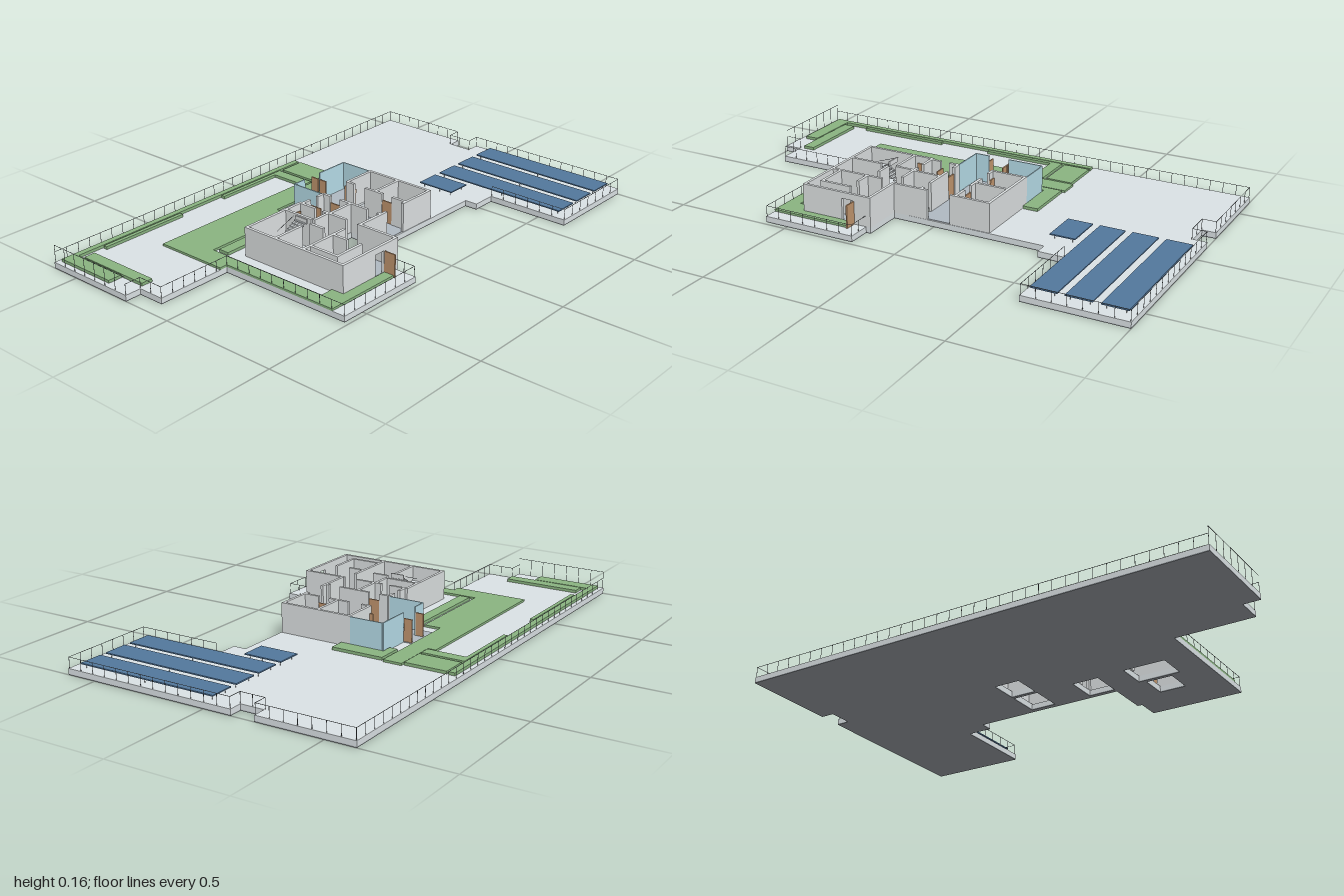
import * as THREE from 'three';

const mat = (name, color) => {
  const m = new THREE.MeshStandardMaterial({ color });
  m.name = name;
  return m;
};

export function createModel() {
  const root = new THREE.Group();
  root.name = 'roofTerrace';
  const M = {
    deck: mat('paleConcrete', 0xdae1e4),
    base: mat('underside', 0x92979c),
    wall: mat('wallGrey', 0xdbdfe0),
    floor: mat('floorGrey', 0xafb8c1),
    green: mat('plantGreen', 0x89b380),
    panel: mat('panelBlue', 0x52779c),
    wood: mat('doorWood', 0xbf946d),
    glass: mat('paleGlass', 0xb5dbe7),
    rail: mat('railGrey', 0x70767a),
  };
  const TOP = 0.025, WALL = 0.148, T = 0.012;

  const group = (name, parent = root) => {
    const g = new THREE.Group();
    g.name = name;
    parent.add(g);
    return g;
  };
  // Box given by its limits on each axis
  const box = (parent, name, m, x0, x1, y0, y1, z0, z1) => {
    const mesh = new THREE.Mesh(new THREE.BoxGeometry(x1 - x0, y1 - y0, z1 - z0), m);
    mesh.position.set((x0 + x1) / 2, (y0 + y1) / 2, (z0 + z1) / 2);
    mesh.name = name;
    parent.add(mesh);
  };
  // Thin round bar between two points
  const bar = (parent, name, a, b, r = 0.001) => {
    const from = new THREE.Vector3(...a), dir = new THREE.Vector3(...b).sub(from);
    const mesh = new THREE.Mesh(new THREE.CylinderGeometry(r, r, dir.length(), 8), M.rail);
    mesh.position.copy(from).addScaledVector(dir, 0.5);
    mesh.quaternion.setFromUnitVectors(new THREE.Vector3(0, 1, 0), dir.normalize());
    mesh.name = name;
    parent.add(mesh);
  };
  // Plan outline raised from y0 to y1
  const plate = (parent, name, m, pts, y0, y1, holes = []) => {
    const v = (p) => p.map(([x, z]) => new THREE.Vector2(x, z));
    const s = new THREE.Shape(v(pts));
    for (const [a, b, c, d] of holes) s.holes.push(new THREE.Path(v([[a, c], [a, d], [b, d], [b, c]])));
    const g = new THREE.ExtrudeGeometry(s, { depth: y1 - y0, bevelEnabled: false });
    g.rotateX(Math.PI / 2).translate(0, y1, 0);
    const mesh = new THREE.Mesh(g, m);
    mesh.name = name;
    parent.add(mesh);
  };

  // Roof slab with the open rooms cut through it
  const outline = [[-1, -0.626], [1, -0.626], [1, -0.218], [0.943, -0.218], [0.943, -0.118], [1, -0.118], [1, 0.626],
    [0.583, 0.626], [0.583, 0.265], [0.478, 0.265], [0.478, 0.21], [0.24, 0.208], [-0.18, 0.205], [-0.18, 0.38],
    [-0.2, 0.38], [-0.2, 0.482], [-0.6, 0.482], [-0.6, -0.105], [-0.93, -0.105], [-0.93, -0.218], [-1, -0.218]];
  const voids = [[0.1, 0.212, -0.09, 0.033], [0.1, 0.212, 0.048, 0.185], [-0.18, -0.065, 0.052, 0.187],
    [-0.48, -0.3, 0.045, 0.172], [-0.438, -0.325, 0.188, 0.305]];
  plate(root, 'slabUnderside', M.base, outline, 0, 0.004, voids);
  plate(root, 'slab', M.deck, outline, 0.004, TOP, voids);

  // Interior floors
  const floors = group('floors');
  [[-0.068, 0.09, -0.305, -0.1], [0.09, 0.24, -0.25, -0.11], [-0.058, 0.09, -0.1, 0.2], [-0.3, -0.19, 0.04, 0.172],
    [-0.325, -0.19, 0.185, 0.37], [-0.48, -0.325, 0.318, 0.37], [-0.27, -0.06, -0.1, 0.03], [0.212, 0.235, -0.1, 0.19]]
    .forEach(([a, b, c, d]) => box(floors, 'floor', M.floor, a, b, TOP, TOP + 0.002, c, d));

  // Walls: [x0, x1, z] run sideways, [z0, z1, x] run front to back
  const walls = group('walls');
  [[-0.49, -0.18, -0.11], [-0.49, -0.34, 0.038], [-0.27, -0.18, 0.038], [-0.49, -0.25, 0.179], [-0.49, -0.31, 0.374],
    [-0.26, -0.18, 0.374], [-0.44, -0.31, 0.312], [-0.18, -0.14, -0.1], [-0.1, -0.06, -0.1], [-0.18, -0.06, 0.044],
    [-0.19, -0.03, 0.199], [0.07, 0.245, 0.199], [0.09, 0.245, 0.04], [0.09, 0.245, -0.107]]
    .forEach(([a, b, z]) => box(walls, 'wall', M.wall, a, b, TOP, WALL, z - T / 2, z + T / 2));
  [[-0.115, 0.38, -0.484], [-0.115, -0.03, -0.186], [0.01, 0.13, -0.186], [0.19, 0.38, -0.186], [-0.1, -0.06, -0.06],
    [-0.01, 0.13, -0.06], [0.18, 0.2, -0.06], [-0.11, -0.07, 0.093], [-0.01, 0.08, 0.093], [0.13, 0.2, 0.093],
    [-0.113, 0.2, 0.239], [-0.115, 0.03, -0.27], [0.05, 0.12, -0.302], [0.18, 0.25, -0.318], [0.179, 0.318, -0.444]]
    .forEach(([a, b, x]) => box(walls, 'wall', M.wall, x - T / 2, x + T / 2, TOP, WALL, a, b));
  box(walls, 'frontLintel', M.wall, -0.31, -0.26, 0.122, WALL, 0.368, 0.38);

  // Glazed entrance at the back
  const entry = group('glazedEntrance');
  const pane = (...p) => box(entry, 'glassPane', M.glass, ...p);
  pane(-0.062, 0, TOP, 0.145, -0.26, -0.255);
  pane(0.09, 0.24, TOP, 0.145, -0.26, -0.255);
  pane(0.239, 0.244, TOP, 0.145, -0.257, -0.114);
  pane(-0.064, -0.059, TOP, 0.145, -0.257, -0.106);

  // Open doors
  const doors = group('doors');
  [[-0.259, -0.253, 0.38, 0.43], [0.08, 0.086, -0.294, -0.258], [0.08, 0.086, -0.25, -0.215],
    [-0.006, 0, -0.294, -0.26], [0.1, 0.105, -0.13, -0.07], [0.09, 0.096, 0.08, 0.13],
    [-0.25, -0.2, -0.1, -0.094], [-0.133, -0.128, -0.1, -0.05], [-0.064, -0.058, -0.06, -0.01]]
    .forEach(([a, b, c, d]) => box(doors, 'door', M.wood, a, b, TOP, 0.12, c, d));

  // Two-flight staircase with open treads and a balustrade
  const stairs = group('stairs');
  const steps = 8, run = 0.1 / steps, rise = 0.0075;
  for (let i = 0; i < steps; i++) {
    const lower = -0.302 - i * run, y = TOP + (i + 1) * rise;
    box(stairs, 'lowerStep', M.deck, lower - run + 0.002, lower, y - 0.005, y, -0.1, -0.042);
    const upper = -0.402 + i * run, y2 = y + steps * rise;
    box(stairs, 'upperStep', M.deck, upper, upper + run - 0.002, y2 - 0.005, y2, -0.025, 0.03);
  }
  box(stairs, 'landing', M.deck, -0.475, -0.402, 0.078, 0.086, -0.1, 0.03);
  box(stairs, 'balustrade', M.wall, -0.308, -0.302, 0.14, 0.16, -0.025, 0.035);
  bar(stairs, 'handrail', [-0.4, 0.122, -0.034], [-0.305, 0.155, -0.034]);

  // Lawns and planters
  const garden = group('garden');
  plate(garden, 'lawn', M.green, [[-0.635, -0.422], [0.125, -0.422], [0.125, -0.388], [0.322, -0.388], [0.322, -0.308],
    [-0.115, -0.308], [-0.115, -0.235], [-0.545, -0.235], [-0.545, 0.325], [-0.49, 0.325], [-0.49, 0.38],
    [-0.255, 0.38], [-0.255, 0.424], [-0.6, 0.424], [-0.6, -0.105], [-0.635, -0.105]], TOP, 0.034);
  plate(garden, 'cornerPlanter', M.green, [[-0.978, -0.608], [0.312, -0.608], [0.312, -0.583], [-0.918, -0.583],
    [-0.918, -0.337], [-0.978, -0.337]], TOP, 0.037);
  plate(garden, 'entryPlanter', M.green, [[0.2, -0.298], [0.312, -0.298], [0.312, -0.075], [0.247, -0.075],
    [0.247, -0.264], [0.2, -0.264]], TOP, 0.037);
  [[-0.913, -0.863, -0.556, -0.228], [-0.8, -0.402, -0.577, -0.56], [-0.168, 0.137, -0.577, -0.56],
    [0.137, 0.184, -0.577, -0.393], [0.199, 0.312, -0.573, -0.393], [-0.53, -0.115, -0.218, -0.17]]
    .forEach(([a, b, c, d]) => box(garden, 'planter', M.green, a, b, TOP, 0.037, c, d));

  // Raised blue panels on short legs
  const panels = group('panels');
  for (const [a, b, d] of [[0.468, 0.573, 0.142], [0.603, 0.708, 0.586], [0.737, 0.842, 0.586], [0.872, 0.976, 0.586]]) {
    box(panels, 'panel', M.panel, a, b, 0.042, 0.047, -0.024, d);
    for (const x of [a + 0.015, b - 0.015]) for (const z of [-0.01, d / 2, d - 0.015])
      bar(panels, 'panelLeg', [x, TOP, z], [x, 0.042, z]);
  }

  // Perimeter railing: evenly spaced posts under a thin rail
  const railing = group('railing');
  const fence = (pts, h) => {
    for (let i = 0; i < pts.length - 1; i++) {
      const [xa, za] = pts[i], [xb, zb] = pts[i + 1];
      bar(railing, 'topRail', [xa, h, za], [xb, h, zb]);
      const n = Math.max(1, Math.round(Math.hypot(xb - xa, zb - za) / 0.056));
      for (let k = 0; k < n; k++) {
        const x = xa + (xb - xa) * k / n, z = za + (zb - za) * k / n;
        bar(railing, 'post', [x, TOP, z], [x, h, z]);
      }
    }
  };
  const e = 0.003;
  fence([[0.583 + e, 0.265], [0.583 + e, 0.626 - e], [1 - e, 0.626 - e], [1 - e, -0.118 + e], [0.943 - e, -0.118 + e],
    [0.943 - e, -0.218 - e], [1 - e, -0.218 - e], [1 - e, -0.626 + e], [-1 + e, -0.626 + e]], 0.069);
  fence([[-1 + e, -0.218 - e], [-0.93 + e, -0.218 - e], [-0.93 + e, -0.105 - e], [-0.6 + e, -0.105 - e],
    [-0.6 + e, 0.482 - e], [-0.2 - e, 0.482 - e], [-0.2 - e, 0.38]], 0.069);
  fence([[-1 + e, -0.626 + e], [-1 + e, -0.218 - e]], 0.097);

  return root;
}
